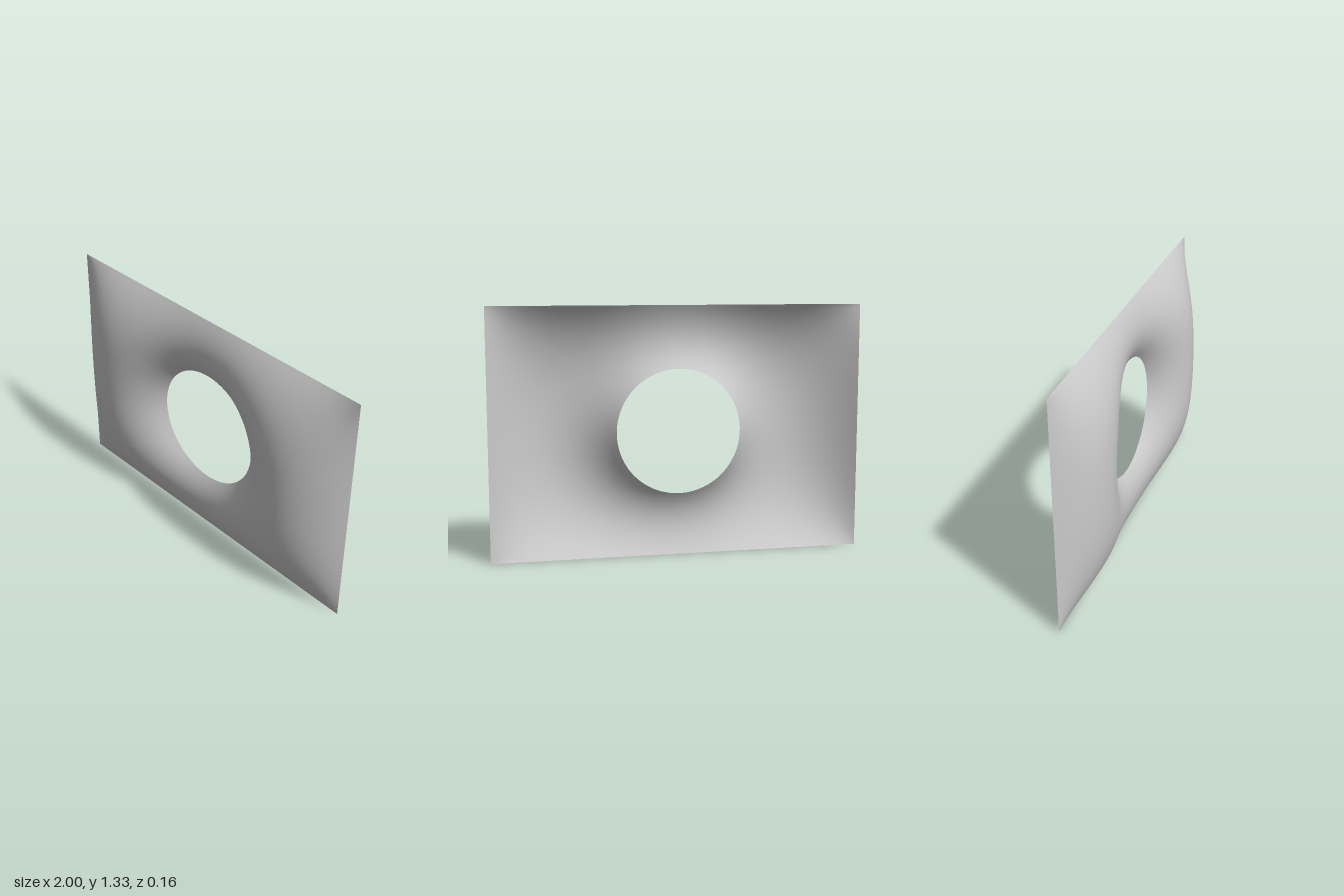
import * as THREE from 'three';

const HALF_W = 1, HALF_H = 2 / 3, HOLE_R = 1 / 3, RISE = 0.16;
const NX = 48, NY = 32, RINGS = 20;

// Evenly spaced points around the rectangle, counter-clockwise from the lower right corner
function rectanglePoints() {
  const corners = [[HALF_W, -HALF_H], [HALF_W, HALF_H], [-HALF_W, HALF_H], [-HALF_W, -HALF_H]];
  const points = [];
  corners.forEach((a, side) => {
    const b = corners[(side + 1) % 4];
    const n = side % 2 ? NX : NY;
    for (let k = 0; k < n; k++) {
      const t = k / n;
      points.push(new THREE.Vector2(a[0] + (b[0] - a[0]) * t, a[1] + (b[1] - a[1]) * t));
    }
  });
  return points;
}

// Heights of an evenly inflated membrane held along the rectangle and the hole
function inflate(points, faces, isFixed) {
  const weights = points.map(() => new Map());
  const load = new Float64Array(points.length);
  const addWeight = (a, b, w) => {
    weights[a].set(b, (weights[a].get(b) || 0) + w);
    weights[b].set(a, (weights[b].get(a) || 0) + w);
  };
  for (let f = 0; f < faces.length; f += 3) {
    for (let k = 0; k < 3; k++) {
      const c = faces[f + k], a = faces[f + (k + 1) % 3], b = faces[f + (k + 2) % 3];
      const p = points[a].clone().sub(points[c]), q = points[b].clone().sub(points[c]);
      const cross = p.cross(q);
      addWeight(a, b, p.dot(q) / cross / 2);
      load[c] += cross / 6;
    }
  }
  const links = weights.map((m) => [...m]);
  const sums = links.map((l) => l.reduce((s, [, w]) => s + w, 0));
  const height = new Float64Array(points.length);
  for (let step = 0; step < 800; step++) {
    for (let i = 0; i < points.length; i++) {
      if (isFixed(i)) continue;
      let s = load[i];
      for (const [j, w] of links[i]) s += w * height[j];
      height[i] += 1.7 * (s / sums[i] - height[i]);
    }
  }
  const peak = Math.max(...height);
  return height.map((h) => h / peak * RISE);
}

export function createModel() {
  const group = new THREE.Group();
  const outer = rectanglePoints();
  const n = outer.length;

  // Rings of points from the round hole out to the rectangle
  const points = [], faces = [];
  for (let i = 0; i <= RINGS; i++) {
    for (const o of outer) {
      points.push(o.clone().setLength(HOLE_R).lerp(o, i / RINGS));
    }
  }
  for (let i = 0; i < RINGS; i++) {
    for (let j = 0; j < n; j++) {
      const a = i * n + j, b = i * n + (j + 1) % n;
      faces.push(a, a + n, b + n, a, b + n, b);
    }
  }

  const height = inflate(points, faces, (i) => i < n || i >= RINGS * n);

  // Membrane: one smooth open sheet
  const geometry = new THREE.BufferGeometry();
  geometry.setAttribute('position', new THREE.Float32BufferAttribute(
    points.flatMap((p, i) => [p.x, p.y + HALF_H, height[i] - RISE / 2]), 3));
  geometry.setIndex(faces);
  geometry.computeVertexNormals();
  const membrane = new THREE.Mesh(geometry,
    new THREE.MeshStandardMaterial({ color: 0xcccccc, side: THREE.DoubleSide }));
  membrane.name = 'membrane';
  group.add(membrane);
  return group;
}
